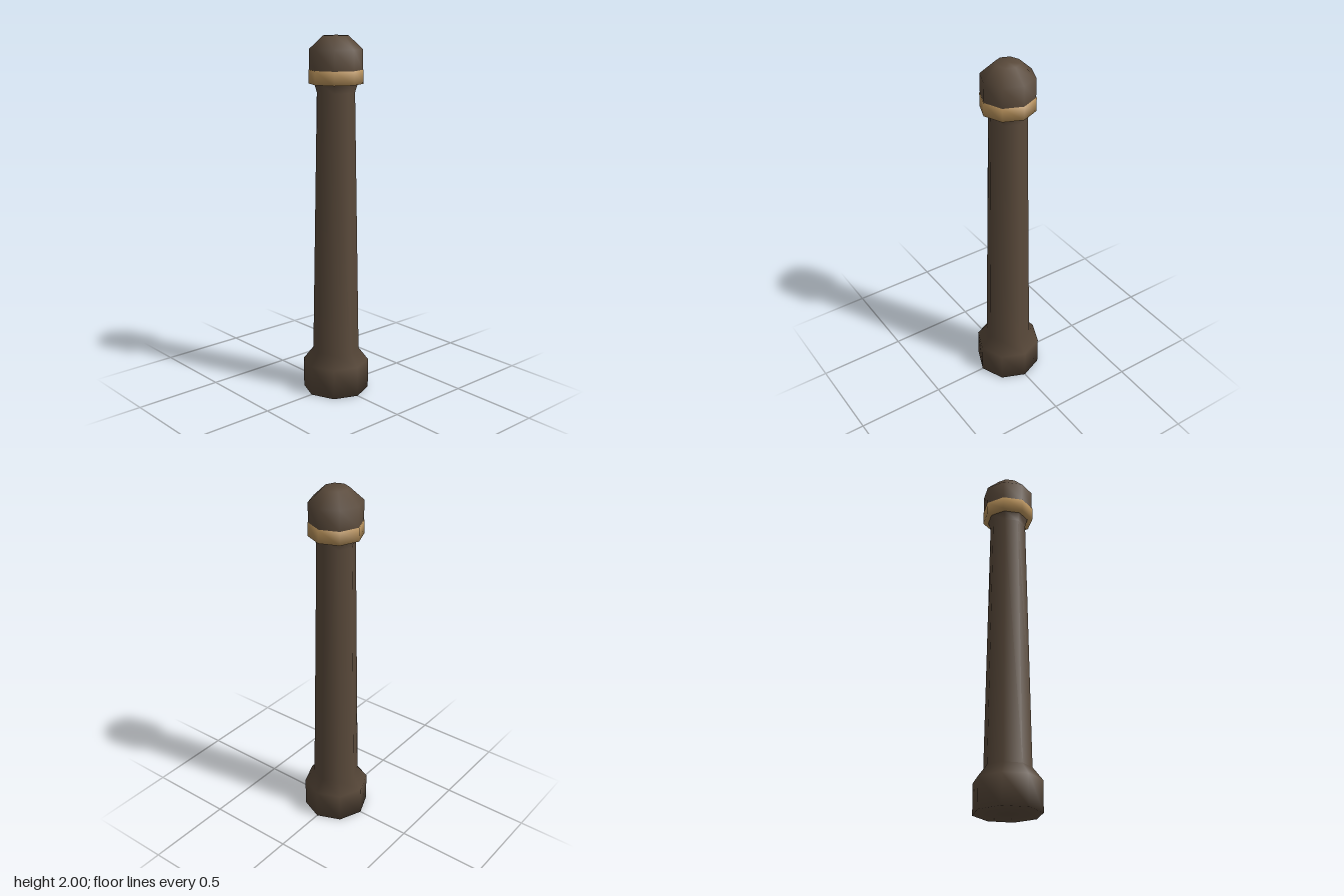
import * as THREE from 'three';

const SIDES = 8;

// Eight-sided turned part from [radius, height] pairs, listed bottom to top.
function turned(name, profile, material) {
  const points = profile.map(([r, y]) => new THREE.Vector2(r, y));
  const mesh = new THREE.Mesh(new THREE.LatheGeometry(points, SIDES), material);
  mesh.name = name;
  return mesh;
}

export function createModel() {
  const group = new THREE.Group();
  group.name = 'post';

  const darkBrown = new THREE.MeshStandardMaterial({ color: 0x5a4a3b });
  darkBrown.name = 'dark brown';
  const brass = new THREE.MeshStandardMaterial({ color: 0xb48e58 });
  brass.name = 'brass';

  // Foot, tapered shaft and flared neck in one smooth surface
  group.add(turned('shaft', [
    [0, 0], [0.185, 0], [0.185, 0.17], [0.13, 0.24], [0.103, 1.7], [0.118, 1.75],
  ], darkBrown));

  // Collar ring below the head
  group.add(turned('collar', [
    [0.1, 1.746], [0.147, 1.746], [0.147, 1.82], [0.1, 1.82],
  ], brass));

  // Head with a bevelled top
  group.add(turned('head', [
    [0.144, 1.819], [0.144, 1.928], [0.067, 2], [0, 2],
  ], darkBrown));

  return group;
}
